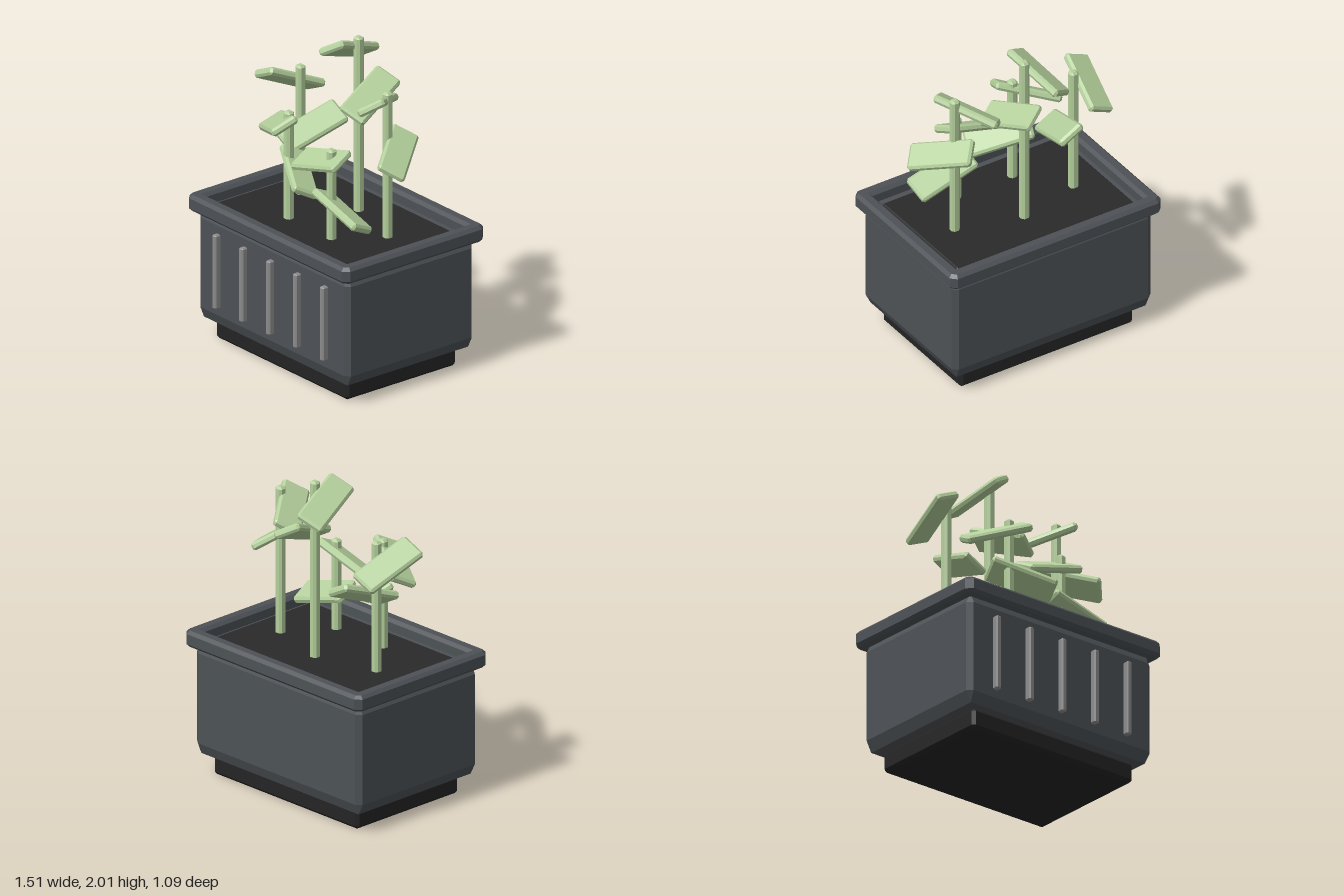
import * as THREE from 'three';
import { ConvexGeometry } from 'three/addons/geometries/ConvexGeometry.js';

const mat = (name, color) => {
  const m = new THREE.MeshStandardMaterial({ color });
  m.name = name;
  return m;
};

// Box with a flat chamfer on every edge (a different depth per axis is allowed)
function chamferBox(w, h, d, cx, cy = cx, cz = cx) {
  const pts = [];
  for (const sx of [-1, 1]) for (const sy of [-1, 1]) for (const sz of [-1, 1]) {
    const x = w / 2, y = h / 2, z = d / 2;
    pts.push(
      new THREE.Vector3(sx * x, sy * (y - cy), sz * (z - cz)),
      new THREE.Vector3(sx * (x - cx), sy * y, sz * (z - cz)),
      new THREE.Vector3(sx * (x - cx), sy * (y - cy), sz * z));
  }
  return new ConvexGeometry(pts);
}

// Rectangle outline with cut corners
function cutRect(path, x, z, c) {
  const p = [[x - c, -z], [x, c - z], [x, z - c], [x - c, z], [c - x, z], [-x, z - c], [-x, c - z], [c - x, -z]];
  path.setFromPoints(p.map(([a, b]) => new THREE.Vector2(a, b)));
  return path;
}

export function createModel() {
  const model = new THREE.Group();
  model.name = 'planter';
  const pot = mat('slate grey', 0x4d5256);
  const dark = mat('black base', 0x242424);
  const earth = mat('dark soil', 0x2a2a2a);
  const metal = mat('light grey trim', 0x8c8c8c);
  const green = mat('pale green', 0xb4d09c);

  const add = (name, geo, material, x, y, z, parent = model) => {
    const m = new THREE.Mesh(geo, material);
    m.name = name;
    m.position.set(x, y, z);
    parent.add(m);
    return m;
  };

  // Pot
  add('base', chamferBox(1.24, 0.13, 0.85, 0.02), dark, 0, 0.065, 0);
  add('body', chamferBox(1.42, 0.72, 0.985, 0.035, 0.07, 0.028), pot, 0, 0.49, 0);
  add('soil', chamferBox(1.26, 0.06, 0.81, 0.008), earth, 0, 0.84, 0);

  // Open rim frame
  const b = 0.02;
  const outline = cutRect(new THREE.Shape(), 0.755 - b, 0.545 - b, 0.025);
  outline.holes.push(cutRect(new THREE.Path(), 0.667 + b, 0.457 + b, 0.002));
  const rimGeo = new THREE.ExtrudeGeometry(outline, {
    depth: 0.105 - 2 * b, bevelEnabled: true, bevelThickness: b, bevelSize: b, bevelSegments: 1,
  });
  rimGeo.rotateX(-Math.PI / 2);
  add('rim', rimGeo, pot, 0, 0.82 + b, 0);

  // Vertical ribs on the front
  const ribGeo = chamferBox(0.038, 0.48, 0.06, 0.008);
  for (let i = -2; i <= 2; i++) add('rib', ribGeo, metal, i * 0.253, 0.49, 0.5, model);

  // Each plant: stem x, z, top height; then the raised and the drooping leaf as
  // centre, length direction and width direction
  const plants = [
    { stem: [-0.42, -0.07, 1.705], leaves: [
      [[-0.525, 1.58, -0.075], [-0.06, 0.165, 0.38], [0.16, 0.075, 0]],
      [[-0.315, 1.335, -0.075], [-0.07, -0.14, 0.39], [0.16, -0.085, 0]]] },
    { stem: [-0.175, 0.22, 1.565], leaves: [
      [[-0.275, 1.45, 0.22], [0.35, 0.125, 0.185], [0.06, 0.08, -0.14]],
      [[-0.08, 1.2, 0.22], [0.35, -0.125, 0.185], [0.06, -0.08, -0.14]]] },
    { stem: [0, -0.175, 2.0], leaves: [
      [[-0.095, 1.885, -0.18], [0.1, 0.14, 0.37], [0.145, 0.09, -0.06]],
      [[0.1, 1.645, -0.18], [0.1, -0.14, 0.37], [0.145, -0.085, -0.06]]] },
    { stem: [0.225, 0.22, 1.45], leaves: [
      [[0.128, 1.345, 0.22], [0.38, 0.105, 0], [-0.02, 0.075, -0.155]],
      [[0.323, 1.078, 0.22], [0.38, -0.11, 0], [-0.02, -0.075, -0.155]]] },
    { stem: [0.418, -0.055, 1.81], leaves: [
      [[0.327, 1.695, -0.055], [0.235, 0.115, 0.3], [0.1, 0.08, -0.115]],
      [[0.515, 1.445, -0.055], [0.235, -0.115, 0.3], [0.1, -0.08, -0.115]]] },
  ];
  const leafGeo = chamferBox(0.415, 0.05, 0.178, 0.014);
  for (const { stem: [x, z, top], leaves } of plants) {
    const plant = new THREE.Group();
    plant.name = 'plant';
    model.add(plant);
    const foot = 0.82;
    add('stem', chamferBox(0.056, top - foot, 0.056, 0.014), green, x, (top + foot) / 2, z, plant);
    for (const [centre, along, across] of leaves) {
      const leaf = add('leaf', leafGeo, green, ...centre, plant);
      const ax = new THREE.Vector3(...along).normalize();
      const ay = new THREE.Vector3(...across).cross(ax).normalize();
      const az = new THREE.Vector3().crossVectors(ax, ay);
      leaf.quaternion.setFromRotationMatrix(new THREE.Matrix4().makeBasis(ax, ay, az));
    }
  }
  return model;
}
